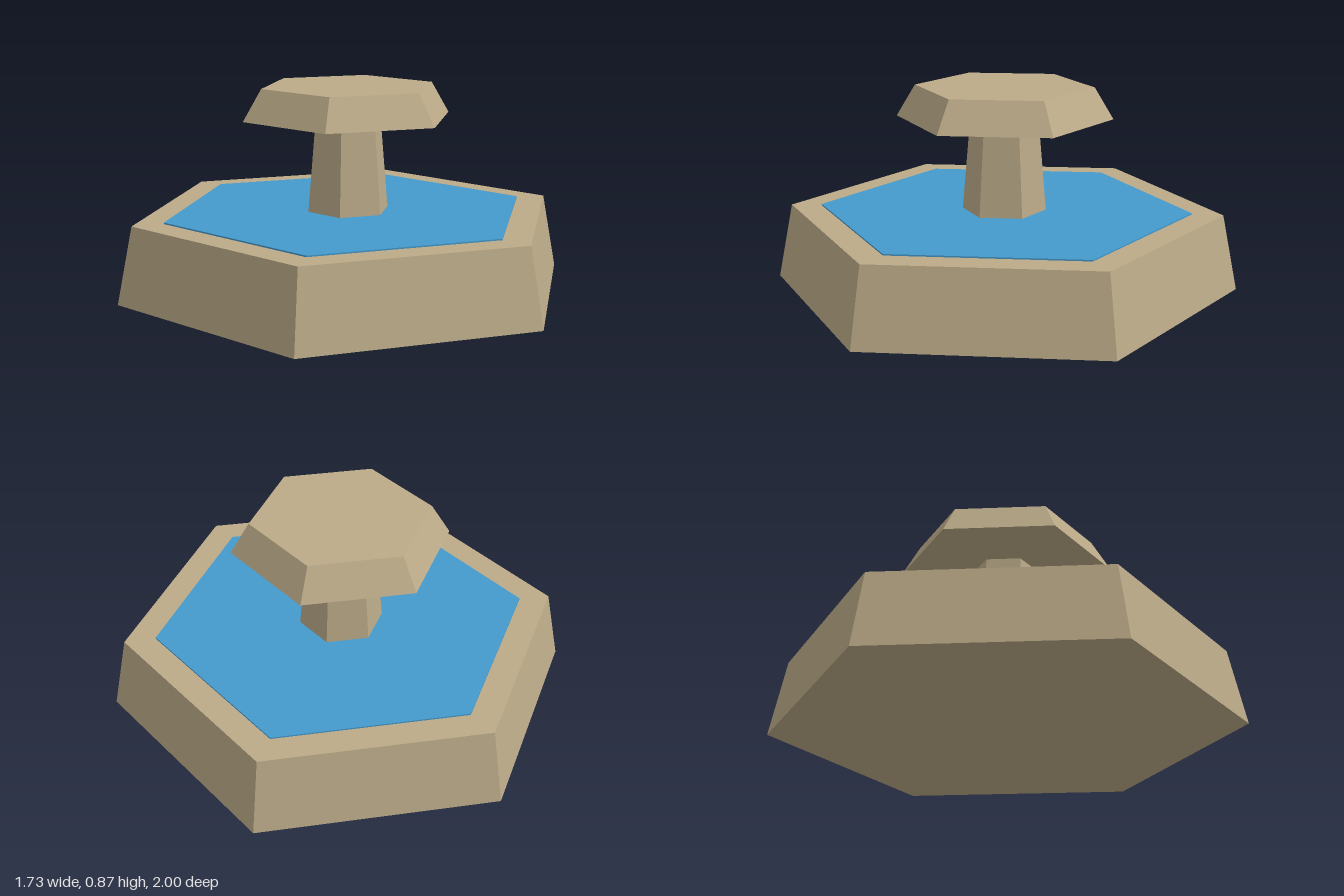
import * as THREE from 'three';

export function createModel() {
  const model = new THREE.Group();
  model.name = 'fountain';

  const stone = new THREE.MeshStandardMaterial({ color: 0xbbaa88 });
  stone.name = 'stone';
  const water = new THREE.MeshStandardMaterial({ color: 0x4499cc });
  water.name = 'water';

  // Tapered six-sided tier between two heights, a corner facing front
  function tier(name, bottomRadius, topRadius, y0, y1, material) {
    const geometry = new THREE.CylinderGeometry(topRadius, bottomRadius, y1 - y0, 6).toNonIndexed();
    geometry.computeVertexNormals(); // crisp flat facets
    const mesh = new THREE.Mesh(geometry, material);
    mesh.name = name;
    mesh.position.y = (y0 + y1) / 2;
    model.add(mesh);
  }

  tier('basin', 1, 0.933, 0, 0.327, stone);
  tier('waterSurface', 0.8, 0.8, 0.326, 0.333, water);
  tier('pillar', 0.18, 0.145, 0.327, 0.733, stone);
  tier('cap', 0.46, 0.38, 0.733, 0.867, stone);

  return model;
}
